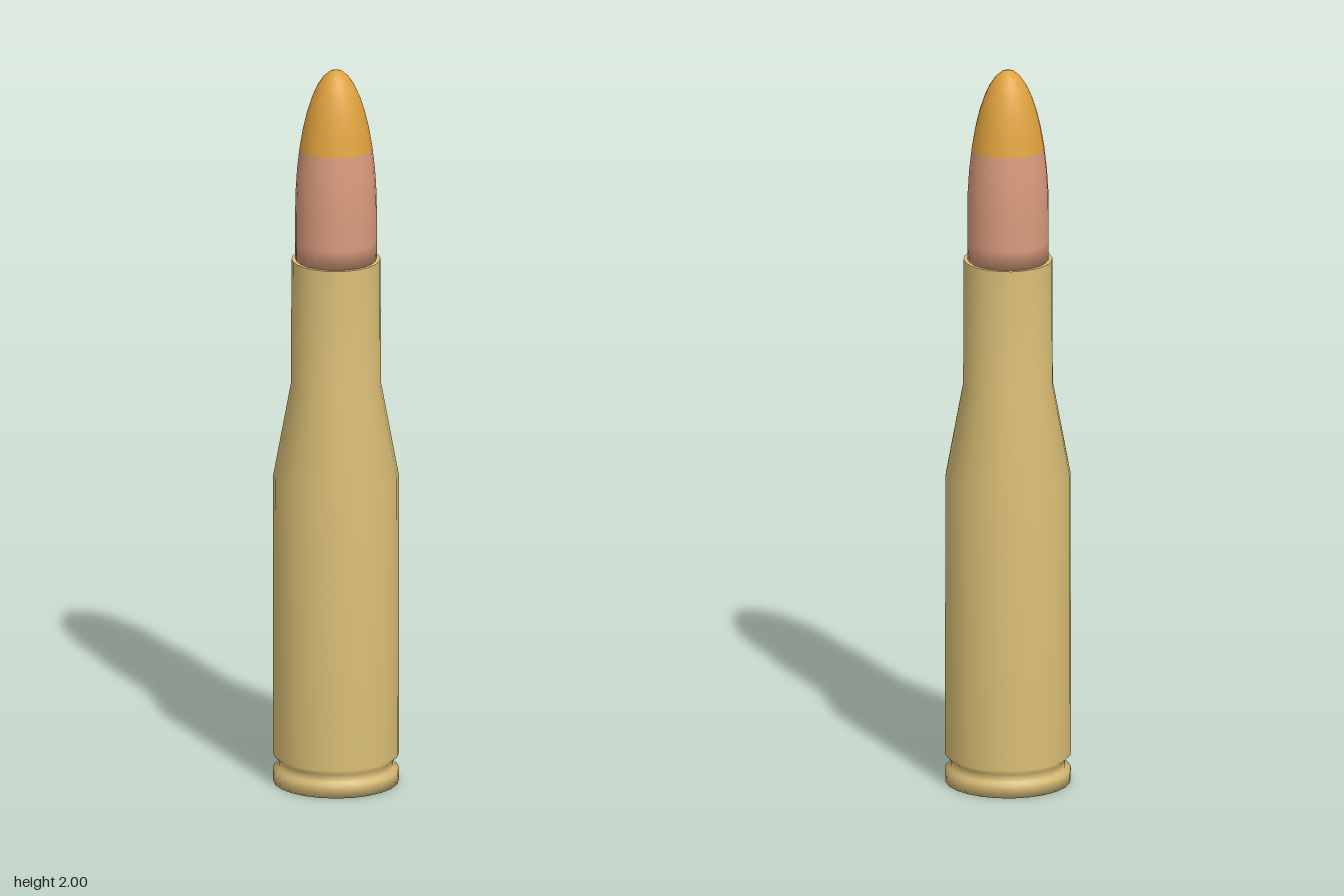
import * as THREE from 'three';

const SIDES = 24;

export function createModel() {
  const group = new THREE.Group();
  const brass = new THREE.MeshStandardMaterial({ color: 0xdbbf77 });
  brass.name = 'brass';
  const copper = new THREE.MeshStandardMaterial({ color: 0xd99b7d });
  copper.name = 'copper';
  const amber = new THREE.MeshStandardMaterial({ color: 0xe0a23e });
  amber.name = 'amber paint';

  // Turned part from a profile of [radius, height], bottom to top
  const turn = (name, profile, material) => {
    const points = profile.map(([r, y]) => new THREE.Vector2(r, y));
    const mesh = new THREE.Mesh(new THREE.LatheGeometry(points, SIDES), material);
    mesh.name = name;
    group.add(mesh);
  };

  // Case: base, rim, extractor groove, body, shoulder, neck and mouth
  turn('case', [
    [0, 0], [0.169, 0], [0.17, 0.035], [0.154, 0.04], [0.154, 0.062], [0.17, 0.078],
    [0.169, 0.86], [0.121, 1.12], [0.12, 1.468],
  ], brass);
  turn('caseMouth', [[0.12, 1.468], [0.1, 1.468]], brass);

  // Bullet: straight shank running into an elliptical nose
  const noseBase = 1.6, noseHeight = 0.4, radius = 0.11;
  const nose = (from, to, steps) => Array.from({ length: steps + 1 }, (_, i) => {
    const a = from + (to - from) * i / steps;
    return [Math.max(0, radius * Math.cos(a)), noseBase + noseHeight * Math.sin(a)];
  });
  const paintLine = Math.asin((1.78 - noseBase) / noseHeight);
  turn('bulletShank', [[0, 1.46], [radius, 1.465], [radius, 1.52], ...nose(0, paintLine, 3)], copper);
  turn('bulletTip', nose(paintLine, Math.PI / 2, 7), amber);

  return group;
}
